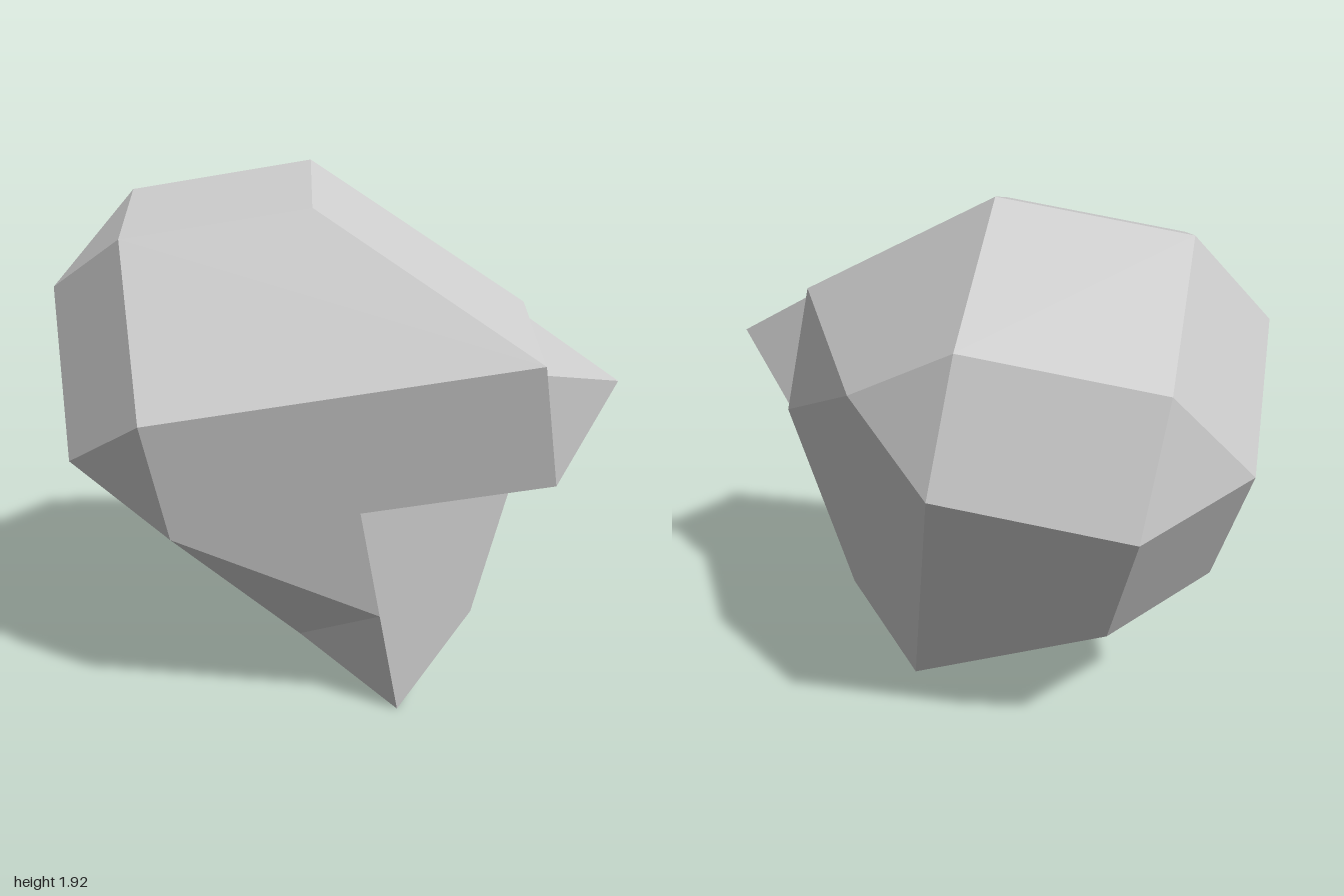
import * as THREE from 'three';
import { ConvexGeometry } from 'three/addons/geometries/ConvexGeometry.js';

// Tilted lattice on which every corner of the head lies.
const ORIGIN = new THREE.Vector3(0.17, 1.92, -0.11);
const SIDE = new THREE.Vector3(0.32, 0.1, -0.3);
const UP = new THREE.Vector3(-0.128, 0.43, 0.012);
const FRONT = new THREE.Vector3(0.41, 0.106, 0.478);

const toWorld = ([a, b, c]) => ORIGIN.clone()
  .addScaledVector(SIDE, a).addScaledVector(UP, b).addScaledVector(FRONT, c);

function solid(name, corners) {
  const material = new THREE.MeshStandardMaterial({ color: 0xcccccc, flatShading: true });
  const mesh = new THREE.Mesh(new ConvexGeometry(corners.map(toWorld)), material);
  mesh.name = name;
  return mesh;
}

// Faceted ball: an eight-sided belt with a square cap in front and behind.
function skullCorners() {
  const corners = [];
  const belt = [[0.5, 1.5], [1.5, 0.5], [1.5, -0.5], [0.5, -1.5]];
  const cap = [[0, 1], [1, 0], [0, -1], [-1, 0]];
  for (const [a, b] of belt) {
    for (const c of [-1, 0]) {
      corners.push([-0.5 + a, -1.5 + b, c], [-0.5 - a, -1.5 + b, c]);
    }
  }
  for (const [a, b] of cap) {
    for (const c of [-1.5, 0.5]) corners.push([-0.5 + a, -1.5 + b, c]);
  }
  return corners;
}

export function createModel() {
  const group = new THREE.Group();
  group.name = 'lowPolyHead';
  const skull = skullCorners();

  // Upper head with the brow, cut level above the mouth
  const face = [[-2, -1, 1], [-1, -1, 1], [-1, -2, 1], [-2, -2, 1]];
  group.add(solid('upperHead', [...skull.filter(p => p[1] >= -2), ...face]));

  // Lower head, set back under the nose and tapering to the jaw
  const jaw = [[-1.5, -3.5, 0.5], [-1, -4, 0], [-1.5, -3.5, -0.5], [-2, -3, 0]];
  group.add(solid('lowerHead', [...skull, [-1, -2, 1], [-2, -2, 0], ...jaw]));

  // Pyramid nose, slightly inset from the face
  group.add(solid('nose', [
    [-2, -1.07, 1], [-1.1, -1.07, 1], [-1.1, -2, 1], [-2, -2, 1], [-1.5, -1.5, 1.4],
  ]));

  // Pyramid chin
  group.add(solid('chin', [...jaw, [-2, -4, 0]]));

  return group;
}
